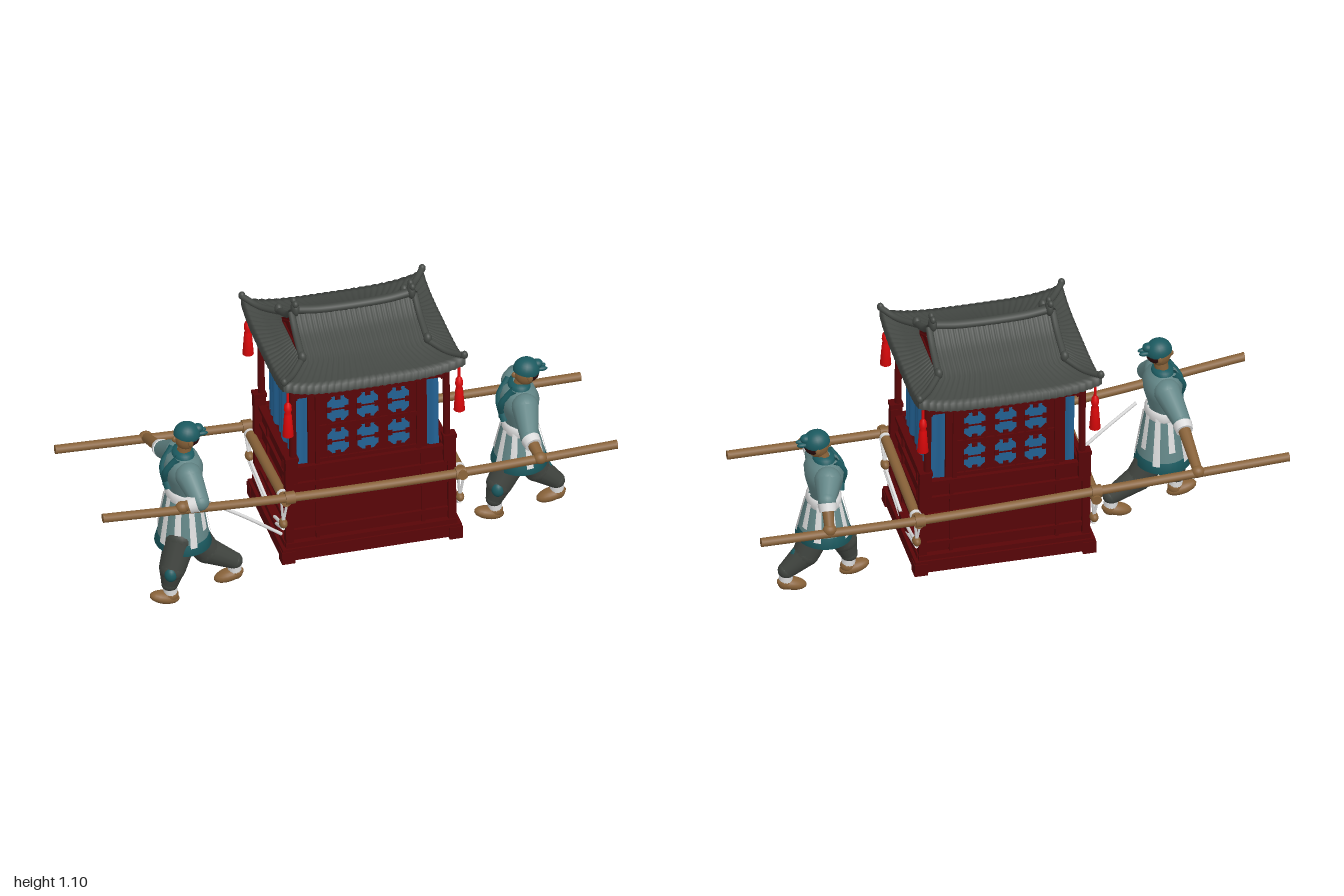
import * as THREE from 'three';

const mat = (name, color, side = THREE.FrontSide) => {
  const m = new THREE.MeshStandardMaterial({ color, side });
  m.name = name;
  return m;
};
const red = mat('lacquer red', 0x580507), tile = mat('roof grey', 0x444844, THREE.DoubleSide);
const blue = mat('curtain blue', 0x226193, THREE.DoubleSide), wood = mat('pole brown', 0x876138);
const robe = mat('robe blue grey', 0x628586, THREE.DoubleSide), teal = mat('trim teal', 0x1b5a60, THREE.DoubleSide);
const white = mat('cloth white', 0xdcdcdc, THREE.DoubleSide), trouser = mat('trouser grey', 0x40443f);
const scarlet = mat('tassel scarlet', 0xdc080a), hair = mat('hair dark', 0x2c0c0c);
const V = (x, y, z) => new THREE.Vector3(x, y, z);

function add(parent, name, geo, m, x = 0, y = 0, z = 0) {
  const mesh = new THREE.Mesh(geo, m);
  mesh.name = name;
  mesh.position.set(x, y, z);
  parent.add(mesh);
  return mesh;
}
const box = (g, n, m, w, h, d, x, y, z) => add(g, n, new THREE.BoxGeometry(w, h, d), m, x, y, z);
const ball = (g, n, m, rx, ry, rz, x, y, z) => {
  const b = add(g, n, new THREE.SphereGeometry(1, 18, 12), m, x, y, z);
  b.scale.set(rx, ry, rz);
  return b;
};
// tapered cylinder between two points
function rod(g, n, m, a, b, r1, r2 = r1) {
  const d = b.clone().sub(a);
  const c = add(g, n, new THREE.CylinderGeometry(r2, r1, d.length(), 14), m);
  c.position.copy(a).addScaledVector(d, 0.5);
  c.quaternion.setFromUnitVectors(V(0, 1, 0), d.normalize());
  return c;
}
const tube = (g, n, m, pts, r) =>
  add(g, n, new THREE.TubeGeometry(new THREE.CatmullRomCurve3(pts), pts.length * 8, r, 10), m);
// chain of rounded limb segments, entries are [point, radius]
function limb(g, n, m, joints) {
  joints.forEach(([p, r], i) => {
    ball(g, n, m, r, r, r, p.x, p.y, p.z);
    if (i) rod(g, n, m, joints[i - 1][0], p, joints[i - 1][1], r);
  });
}
const lathe = (g, n, m, pts, x, y, z, sx) => {
  const l = add(g, n, new THREE.LatheGeometry(pts.map(p => new THREE.Vector2(...p)), 28), m, x, y, z);
  l.scale.x = sx;
  return l;
};

// concave roof height by distance from the ridge
const PROFILE = [[0, 1.035], [0.06, 0.985], [0.17, 0.93], [0.24, 0.908], [0.305, 0.898]];
function height(d) {
  let i = 1;
  while (i < PROFILE.length - 1 && d > PROFILE[i][0]) i++;
  const [a, ya] = PROFILE[i - 1], [b, yb] = PROFILE[i];
  return ya + (yb - ya) * (d - a) / (b - a);
}
const flare = d => Math.max(0, (d - 0.17) / 0.135);
const lift = (u, d) => 0.036 * Math.pow(Math.abs(u), 4) * flare(d) ** 1.5;

// one tiled slope; end = true makes the short skirt under a gable
function slope(end, sign) {
  const nu = end ? 120 : 160, ribs = end ? 20 : 26, rows = 12;
  const geo = new THREE.PlaneGeometry(1, 1, nu, rows + 1), p = geo.attributes.position;
  for (let j = 0; j <= rows + 1; j++) for (let i = 0; i <= nu; i++) {
    const u = i / nu * 2 - 1, t = Math.min(1, j / rows);
    const d = end ? 0.14 + 0.165 * t : 0.305 * t;
    const half = end ? d : 0.245 + 0.1 * flare(d);
    const out = end ? 0.245 + 0.1 * (d - 0.17) / 0.135 : d;
    const drop = j > rows ? 0.034 : 0;
    const y = height(d) + lift(u, d) + 0.004 * Math.abs(Math.cos(u * ribs * Math.PI / 2)) - drop;
    const a = u * half, b = sign * out;
    p.setXYZ(j * (nu + 1) + i, end ? b : a, y, end ? a : b);
  }
  geo.computeVertexNormals();
  return geo;
}

function makeRoof(g) {
  const tri = new THREE.Shape([[-0.14, 0.932], [0.14, 0.932], [0, 1.022]].map(q => new THREE.Vector2(...q)));
  for (const s of [-1, 1]) {
    add(g, 'longRoofSlope', slope(false, s), tile);
    add(g, 'endRoofSlope', slope(true, s), tile);
    // red gable and its inner frame, tucked under the roof edge
    const gable = add(g, 'gable', new THREE.ExtrudeGeometry(tri, { depth: 0.008, bevelEnabled: false }), red, s * 0.23, 0, 0);
    gable.rotation.y = s * Math.PI / 2;
    for (const k of [-1, 1]) rod(g, 'gableFrame', red, V(s * 0.239, 0.945, k * 0.1), V(s * 0.239, 1, 0), 0.005);
    rod(g, 'gableRail', red, V(s * 0.239, 0.945, -0.1), V(s * 0.239, 0.945, 0.1), 0.005);
    // ridge end ornaments
    ball(g, 'ridgeOrnament', tile, 0.016, 0.03, 0.026, s * 0.22, 1.055, 0);
    for (const k of [-1, 1]) {
      ball(g, 'ridgeKnob', tile, 0.011, 0.014, 0.013, s * 0.222, 1.082, k * 0.014);
      tube(g, 'gableRidge', tile, [V(s * 0.234, 1.04, 0), V(s * 0.235, 0.995, k * 0.06), V(s * 0.238, 0.946, k * 0.165)], 0.013);
      ball(g, 'gableRidgeEnd', tile, 0.016, 0.022, 0.018, s * 0.238, 0.952, k * 0.168);
      tube(g, 'hipRidge', tile, [V(s * 0.238, 0.942, k * 0.165), V(s * 0.295, 0.928, k * 0.24), V(s * 0.345, 0.942, k * 0.305)], 0.012);
      ball(g, 'hipTip', tile, 0.013, 0.016, 0.013, s * 0.342, 0.944, k * 0.302);
      // corner tassel
      const x = s * 0.325, z = k * 0.285;
      rod(g, 'tasselCord', scarlet, V(x, 0.9, z), V(x, 0.82, z), 0.005);
      lathe(g, 'tassel', scarlet, [[0, 0.698], [0.021, 0.698], [0.014, 0.79], [0.01, 0.795], [0.015, 0.81], [0.013, 0.83], [0, 0.85]], x, 0, z, 1);
    }
  }
  tube(g, 'mainRidge', tile, [V(-0.225, 1.052, 0), V(-0.12, 1.038, 0), V(0.12, 1.038, 0), V(0.225, 1.052, 0)], 0.017);
  box(g, 'roofCeiling', red, 0.62, 0.02, 0.53, 0, 0.876, 0);
}

function makeCabin() {
  const g = new THREE.Group();
  g.name = 'cabin';
  g.position.set(0.068, 0, 0);
  g.rotation.x = -0.03;
  // raised floor over a hollow base
  box(g, 'floor', red, 0.59, 0.016, 0.44, 0, 0.36, 0);
  for (const s of [-1, 1]) {
    box(g, 'longWall', red, 0.59, 0.33, 0.016, 0, 0.345, s * 0.212);
    box(g, 'endWall', red, 0.016, 0.33, 0.43, s * 0.287, 0.345, 0);
    box(g, 'baseLongBeam', red, 0.68, 0.05, 0.03, 0, 0.148, s * 0.235);
    box(g, 'baseLongStep', red, 0.65, 0.02, 0.04, 0, 0.183, s * 0.223);
    box(g, 'baseEndBeam', red, 0.03, 0.05, 0.47, s * 0.325, 0.148, 0);
    box(g, 'baseEndStep', red, 0.045, 0.02, 0.45, s * 0.305, 0.183, 0);
    for (const y of [0.235, 0.36, 0.435, 0.505]) {
      box(g, 'longRail', red, 0.6, 0.016, 0.016, 0, y, s * 0.224);
      box(g, 'endRail', red, 0.016, 0.016, 0.45, s * 0.299, y, 0);
    }
    for (const x of [-0.2, 0.2]) box(g, 'wallStile', red, 0.014, 0.32, 0.012, x, 0.345, s * 0.223);
    for (const z of [-0.11, 0.11]) box(g, 'endStile', red, 0.012, 0.32, 0.014, s * 0.298, 0.345, z);
    box(g, 'longLintel', red, 0.6, 0.06, 0.025, 0, 0.845, s * 0.22);
    box(g, 'endLintel', red, 0.025, 0.075, 0.45, s * 0.285, 0.84, 0);
    for (let i = -3; i <= 3; i++) {
      box(g, 'longBracket', red, 0.025, 0.025, 0.03, i * 0.09, 0.862, s * 0.238);
      box(g, 'endBracket', red, 0.03, 0.025, 0.025, s * 0.305, 0.862, i * 0.07);
    }
    // corner feet and posts
    for (const k of [-1, 1]) {
      box(g, 'foot', red, 0.05, 0.05, 0.05, s * 0.318, 0.137, k * 0.228);
      box(g, 'lowerPost', red, 0.03, 0.36, 0.03, s * 0.308, 0.36, k * 0.222);
      box(g, 'railingBlock', red, 0.045, 0.1, 0.03, s * 0.3, 0.5, k * 0.226);
      box(g, 'railingCap', red, 0.05, 0.014, 0.04, s * 0.3, 0.556, k * 0.226);
      rod(g, 'cornerPost', red, V(s * 0.292, 0.5, k * 0.224), V(s * 0.292, 0.87, k * 0.224), 0.013);
    }
    // pleated curtains on all four sides
    for (const end of [true, false]) {
      const w = end ? 0.39 : 0.54;
      const geo = new THREE.PlaneGeometry(w, 0.32, 96, 1), p = geo.attributes.position;
      for (let i = 0; i < p.count; i++) {
        const x = p.getX(i);
        p.setZ(i, 0.006 * Math.sin(x * 105) + 0.004 * Math.sin(x * 47 + 1));
      }
      geo.computeVertexNormals();
      const c = add(g, 'curtain', geo, blue, end ? s * 0.27 : 0, 0.66, end ? 0 : s * 0.19);
      c.rotation.y = end ? s * Math.PI / 2 : (s < 0 ? Math.PI : 0);
    }
    // lattice screen with six windows
    box(g, 'screenPanel', red, 0.45, 0.34, 0.016, -0.005, 0.67, s * 0.208);
    for (const x of [-0.197, 0.187]) box(g, 'screenStile', red, 0.016, 0.34, 0.03, x, 0.67, s * 0.21);
    for (const y of [0.525, 0.668, 0.81]) box(g, 'screenRail', red, 0.38, 0.014, 0.026, -0.005, y, s * 0.21);
    for (const dx of [-0.118, -0.005, 0.112]) for (const y of [0.737, 0.598]) {
      box(g, 'windowPane', blue, 0.08, 0.106, 0.006, dx, y, s * 0.216);
      box(g, 'latticeBar', red, 0.08, 0.006, 0.008, dx, y, s * 0.218);
      for (const k of [-1, 1]) {
        box(g, 'latticeKnot', red, 0.018, 0.022, 0.01, dx + k * 0.034, y, s * 0.217);
        box(g, 'latticeKnot', red, 0.02, 0.016, 0.01, dx, y + k * 0.049, s * 0.217);
        for (const j of [-1, 1]) box(g, 'latticeCorner', red, 0.022, 0.022, 0.01, dx + k * 0.038, y + j * 0.051, s * 0.217).rotation.z = Math.PI / 4;
      }
    }
  }
  makeRoof(g);
  return g;
}

function makeBearer(name, o) {
  const g = new THREE.Group();
  g.name = name;
  const { x, z, waist: w, shoulder: s, head } = o, h = w - 0.225;
  // robe, skirt with hem, sash and hanging cloth strips
  lathe(g, 'torso', robe, [[0.068, w - 0.01], [0.075, w + 0.02], [0.102, s - 0.06], [0.108, s - 0.02], [0.085, s + 0.015], [0.04, s + 0.035], [0, s + 0.04]], x, 0, z, 0.66);
  lathe(g, 'collar', teal, [[0.055, s + 0.027], [0.05, s + 0.042], [0.03, s + 0.046]], x, 0, z, 0.75);
  lathe(g, 'skirt', robe, [[0.07, w], [0.088, w - h * 0.4], [0.105, 0.255]], x, 0, z, 0.9);
  lathe(g, 'skirtHem', teal, [[0.105, 0.258], [0.117, 0.218], [0.1, 0.222]], x, 0, z, 0.9);
  lathe(g, 'sash', white, [[0.072, w - 0.022], [0.081, w - 0.014], [0.081, w + 0.014], [0.07, w + 0.022]], x, 0, z, 0.8);
  for (let i = 0; i < 10; i++) {
    const len = i % 2 ? h * 0.65 : h * 0.9;
    const strip = add(g, 'clothStrip', new THREE.CylinderGeometry(0.077, 0.077 + 0.038 * len / h, len, 4, 1, true, i * 0.628, 0.27), white, x, w - len / 2, z);
    strip.scale.x = 0.92;
  }
  // crossed lapels on the chest
  for (const k of [-1, 1]) tube(g, 'lapel', teal, [V(x - 0.03, s + 0.035, z + k * 0.04), V(x - 0.07, s - 0.03, z + k * 0.022), V(x - 0.06, w + 0.03, z - k * 0.015)], 0.014);
  // head, cap, bun and tails
  const [hx, hy, hz] = head;
  rod(g, 'neck', wood, V(x, s + 0.02, z), V(hx, hy, hz), 0.026);
  ball(g, 'face', wood, 0.042, 0.052, 0.04, hx - 0.004, hy, hz);
  ball(g, 'nose', wood, 0.01, 0.012, 0.008, hx - 0.046, hy - 0.006, hz);
  ball(g, 'hair', hair, 0.036, 0.036, 0.041, hx + 0.012, hy, hz);
  for (const k of [-1, 1]) ball(g, 'ear', wood, 0.01, 0.015, 0.006, hx + 0.004, hy - 0.005, hz + k * 0.042);
  const cap = add(g, 'cap', new THREE.SphereGeometry(1, 20, 10, 0, Math.PI * 2, 0, Math.PI * 0.55), teal, hx, hy + 0.012, hz);
  cap.scale.set(0.05, 0.047, 0.047);
  cap.rotation.z = -0.2;
  ball(g, 'capBun', teal, 0.02, 0.017, 0.02, hx + 0.042, hy + 0.03, hz);
  for (const k of [-1, 1]) ball(g, 'capTail', teal, 0.022, 0.009, 0.01, hx + 0.055, hy + 0.012, hz + k * 0.012);
  // arms: shoulder, sleeve end, hand
  for (const [a, elbow, hand] of o.arms) {
    limb(g, 'sleeve', robe, [[a, 0.05], [elbow, 0.034]]);
    const dir = hand.clone().sub(elbow).normalize();
    rod(g, 'cuff', white, elbow.clone().addScaledVector(dir, 0.012), elbow.clone().addScaledVector(dir, 0.042), 0.036, 0.032);
    limb(g, 'forearm', wood, [[elbow, 0.024], [hand, 0.018]]);
    ball(g, 'hand', wood, 0.026, 0.023, 0.023, hand.x, hand.y, hand.z);
  }
  // legs: hip, knee with patch, ankle, shoe
  for (const [fx, fz, knee] of o.feet) {
    const back = fx > x, hip = V(x + (back ? 0.02 : -0.02), 0.26, z + (fz - z) * 0.6);
    limb(g, 'trouserLeg', trouser, [[hip, 0.06], [V(knee, 0.15, fz), 0.05], [V(fx + 0.015, 0.085, fz), 0.032]]);
    ball(g, 'kneePatch', teal, 0.024, 0.03, 0.024, knee + (back ? 0.036 : -0.015), 0.145, fz + (back ? 0 : 0.032));
    rod(g, 'sock', white, V(fx + 0.018, 0.035, fz), V(fx + 0.015, 0.08, fz), 0.026);
    ball(g, 'shoe', wood, 0.058, 0.024, 0.031, fx - 0.005, 0.026, fz).rotation.z = back ? 0.25 : -0.25;
    ball(g, 'shoeHeel', wood, 0.03, 0.028, 0.028, fx + 0.018, 0.033, fz);
  }
  return g;
}

export function createModel() {
  const root = new THREE.Group();
  root.name = 'sedanChair';
  root.add(makeCabin());
  // carrying poles with bindings and closed ends
  const poles = [
    [V(-0.97, 0.492, 0.307), V(-0.25, 0.425, 0.262), V(0.4, 0.412, 0.25), V(0.998, 0.42, 0.232)],
    [V(-0.998, 0.418, -0.268), V(-0.27, 0.388, -0.276), V(0.4, 0.372, -0.288), V(0.998, 0.372, -0.29)],
  ];
  for (const pts of poles) {
    tube(root, 'carryingPole', wood, pts, 0.0175);
    for (const e of [pts[0], pts[3]]) rod(root, 'poleEnd', wood, e.clone().setX(e.x * 0.995), e.clone().setX(e.x * 1.002), 0.017);
    for (const p of [pts[1], pts[2]]) rod(root, 'poleBinding', wood, p.clone().setX(p.x - 0.018), p.clone().setX(p.x + 0.018), 0.024);
  }
  // crossbars, bindings and slings at both ends of the cabin
  for (const [x, s] of [[-0.265, -1], [0.405, 1]]) {
    const a = V(x, 0.415, 0.275), b = V(x, 0.365, -0.305);
    rod(root, 'crossbar', wood, a, b, 0.019);
    for (const t of [0.1, 0.9]) rod(root, 'whiteBinding', white, a.clone().lerp(b, t - 0.012), a.clone().lerp(b, t + 0.012), 0.022);
    for (const [z, y, ty] of [[0.225, 0.29, 0.4], [-0.26, 0.265, 0.37]]) {
      for (const d of [-0.012, 0.012]) rod(root, 'slingCord', white, V(x + d, ty, z * 1.08), V(x, y, z), 0.005);
      ball(root, 'slingToggle', wood, 0.016, 0.018, 0.024, x, y, z);
      for (const d of [0, 0.025]) rod(root, 'slingRope', white, V(x, y - 0.01 - d * 0.6, z), V(x - s * 0.015, 0.195 - d, z * 0.2), 0.0065);
    }
  }
  tube(root, 'leadRope', white, [V(-0.54, 0.42, 0.21), V(-0.4, 0.32, 0.195), V(-0.26, 0.21, 0.18)], 0.0065);
  root.add(makeBearer('leadBearer', {
    x: -0.62, z: 0.13, waist: 0.435, shoulder: 0.575, head: [-0.607, 0.678, 0.135],
    arms: [[V(-0.62, 0.555, 0.055), V(-0.645, 0.495, -0.06), V(-0.655, 0.41, -0.272)],
      [V(-0.62, 0.555, 0.21), V(-0.6, 0.495, 0.3), V(-0.665, 0.475, 0.288)]],
    feet: [[-0.705, 0.205, -0.68], [-0.44, 0.125, -0.53]],
  }));
  root.add(makeBearer('rearBearer', {
    x: 0.705, z: -0.055, waist: 0.375, shoulder: 0.52, head: [0.73, 0.605, -0.047],
    arms: [[V(0.705, 0.505, 0.03), V(0.69, 0.45, 0.145), V(0.705, 0.42, 0.245)],
      [V(0.71, 0.505, -0.14), V(0.735, 0.475, -0.225), V(0.74, 0.385, -0.288)]],
    feet: [[0.585, -0.015, 0.62], [0.835, -0.07, 0.775]],
  }));
  return root;
}
